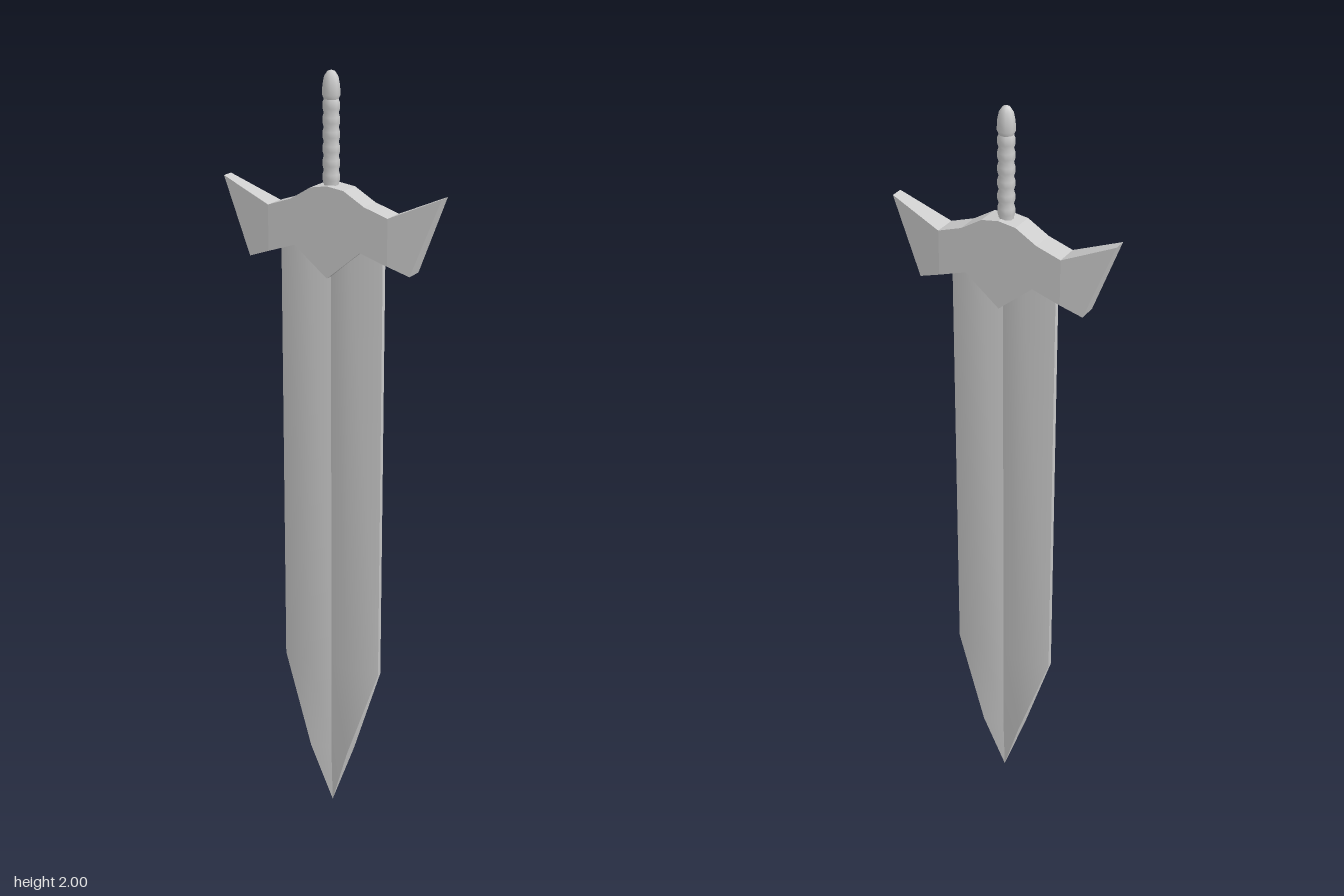
import * as THREE from 'three';
import { toCreasedNormals } from 'three/addons/utils/BufferGeometryUtils.js';

const material = new THREE.MeshStandardMaterial({ color: 0xcccccc });

function addMesh(parent, name, geometry) {
  const mesh = new THREE.Mesh(geometry, material);
  mesh.name = name;
  parent.add(mesh);
  return mesh;
}

// Blade: a grooved section lofted downwards, cut to a point at the tip.
function bladeGeometry() {
  const ridge = 0.055;
  // y, half width, edge depth, ridge depth, groove depth, ridge x
  const rows = [
    [1.64, 0.14, 0.007, 0.023, 0.008, ridge],
    [0.43, 0.14, 0.007, 0.023, 0.008, ridge],
    [0.17, ridge, 0.023, 0.023, 0.008, ridge],
    [0, 0, 0, 0, 0, 0],
  ].map(([y, w, e, r, g, x]) => {
    const front = [[-w, e], [-x, r], [0, g], [x, r], [w, e]];
    const back = front.map(([px, pz]) => [px, -pz]).reverse();
    return [...front, ...back].map(([px, pz]) => new THREE.Vector3(px, y, pz));
  });

  const positions = [];
  const triangle = new THREE.Triangle();
  const addTriangle = (a, b, c) => {
    triangle.set(a, b, c);
    if (triangle.getArea() > 1e-9) for (const p of [a, b, c]) positions.push(p.x, p.y, p.z);
  };
  for (let i = 0; i < rows.length - 1; i++) {
    const top = rows[i], low = rows[i + 1], n = top.length;
    for (let j = 0; j < n; j++) {
      const k = (j + 1) % n;
      addTriangle(top[j], low[j], low[k]);
      addTriangle(top[j], low[k], top[k]);
    }
  }
  const geometry = new THREE.BufferGeometry();
  geometry.setAttribute('position', new THREE.Float32BufferAttribute(positions, 3));
  return toCreasedNormals(geometry, 0.49);
}

// Guard piece: an extruded outline whose depth thins towards the wing tips.
function guardGeometry(points) {
  const shape = new THREE.Shape(points.map(([x, y]) => new THREE.Vector2(x, y)));
  const geometry = new THREE.ExtrudeGeometry(shape, { depth: 1, bevelEnabled: false });
  const position = geometry.attributes.position;
  for (let i = 0; i < position.count; i++) {
    const t = Math.max(0, (Math.abs(position.getX(i)) - 0.163) / 0.133);
    const half = THREE.MathUtils.lerp(0.031, 0.017, t);
    position.setZ(i, position.getZ(i) > 0.5 ? half : -half);
  }
  geometry.computeVertexNormals();
  return geometry;
}

// Grip: an eight-sided lathe with a row of swollen rings.
function gripGeometry() {
  const profile = [[0.018, 1.7]];
  const rings = 6, start = 1.73, step = 0.034;
  for (let i = 0; i < rings; i++) {
    const y = start + i * step;
    profile.push([0.018, y], [0.021, y + step * 0.3], [0.021, y + step * 0.7]);
  }
  profile.push([0.017, start + rings * step]);
  return new THREE.LatheGeometry(profile.map(([r, y]) => new THREE.Vector2(r, y)), 8, Math.PI / 8);
}

// Pommel: a rounded cap.
function pommelGeometry() {
  const profile = [[0.017, 1.93], [0.022, 1.942], [0.021, 1.965], [0.017, 1.985], [0.009, 1.997], [0, 2]];
  return new THREE.LatheGeometry(profile.map(([r, y]) => new THREE.Vector2(r, y)), 8, Math.PI / 8);
}

export function createModel() {
  const sword = new THREE.Group();
  sword.name = 'sword';

  addMesh(sword, 'blade', bladeGeometry());

  const guard = new THREE.Group();
  guard.name = 'guard';
  sword.add(guard);

  // Centre of the guard, mirrored from its left half
  const half = [[0.09, 1.577], [0.163, 1.553], [0.163, 1.669], [0.1, 1.69], [0.045, 1.723]];
  const mirrored = half.map(([x, y]) => [-x, y]).reverse();
  addMesh(guard, 'guardCentre', guardGeometry([[0, 1.503], ...half, [0, 1.73], ...mirrored]));

  // Flared wings
  const wing = [[0.163, 1.553], [0.22, 1.533], [0.296, 1.726], [0.163, 1.669]];
  addMesh(guard, 'guardWingLeft', guardGeometry(wing));
  addMesh(guard, 'guardWingRight', guardGeometry(wing.map(([x, y]) => [-x, y])));

  // Handle
  const handle = new THREE.Group();
  handle.name = 'handle';
  handle.position.x = -0.004;
  sword.add(handle);
  addMesh(handle, 'grip', gripGeometry());
  addMesh(handle, 'pommel', pommelGeometry());

  return sword;
}
